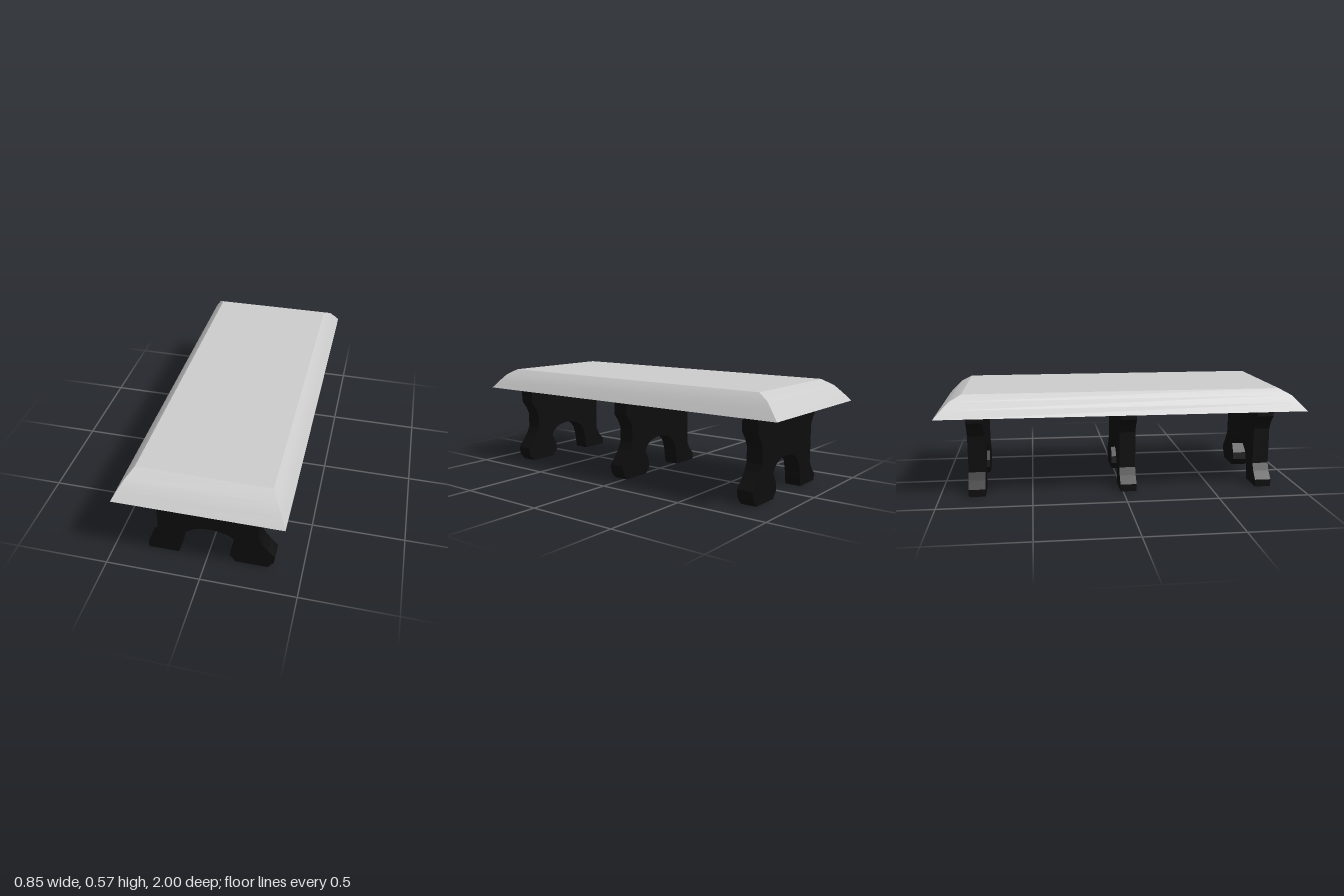
import * as THREE from 'three';

const stone = new THREE.MeshStandardMaterial({ color: 0xcccccc });
stone.name = 'paleGrey';
const iron = new THREE.MeshStandardMaterial({ color: 0x0d0d0d });
iron.name = 'black';

// Slab cross-section rings: half width, height, half length
const rings = [
  [0.425, 0.452, 1.0],
  [0.4, 0.495, 0.96],
  [0.374, 0.535, 0.92],
  [0.34, 0.569, 0.857],
];
const corners = ([x, y, z]) => [[x, y, z], [x, y, -z], [-x, y, -z], [-x, y, z]];

// Smooth-shaded strip of quads between pairs of points, bottom to top
function strip(pairs) {
  const index = [];
  for (let i = 0; i < pairs.length - 1; i++) {
    const a = i * 2;
    index.push(a, a + 1, a + 3, a, a + 3, a + 2);
  }
  const geometry = new THREE.BufferGeometry();
  geometry.setAttribute('position', new THREE.Float32BufferAttribute(pairs.flat(2), 3));
  geometry.setIndex(index);
  geometry.computeVertexNormals();
  return geometry;
}

// Table slab: four curved bevels closed by a flat top and underside
function makeSlab() {
  const slab = new THREE.Group();
  slab.name = 'tableTop';
  const add = (name, pairs) => {
    const mesh = new THREE.Mesh(strip(pairs), stone);
    mesh.name = name;
    slab.add(mesh);
  };
  ['leftBevel', 'backBevel', 'rightBevel', 'frontBevel'].forEach((name, side) => {
    add(name, rings.map((ring) => {
      const c = corners(ring);
      return [c[side], c[(side + 1) % 4]];
    }));
  });
  const top = corners(rings[rings.length - 1]);
  const base = corners(rings[0]);
  add('topFace', [[top[3], top[0]], [top[2], top[1]]]);
  add('underside', [[base[0], base[3]], [base[1], base[2]]]);
  return slab;
}

// Leg outline, clockwise from the upper left-hand edge of the model
const outline = [
  [0.32, 0.452], [0.32, 0.366], [0.288, 0.324], [0.27, 0.285], [0.27, 0.202],
  [0.288, 0.162], [0.32, 0.12], [0.356, 0.081], [0.351, 0.041], [0.32, 0],
  [0.15, 0], [0.12, 0.041], [0.126, 0.083], [0.155, 0.136], [0.138, 0.166],
  [0.107, 0.188], [0.06, 0.2], [0.02, 0.204], [-0.022, 0.2], [-0.065, 0.188],
  [-0.105, 0.163], [-0.126, 0.136], [-0.142, 0.081], [-0.147, 0.041], [-0.155, 0],
  [-0.32, 0], [-0.32, 0.04], [-0.28, 0.081], [-0.26, 0.122], [-0.26, 0.324],
  [-0.28, 0.366], [-0.32, 0.407], [-0.32, 0.452],
];

export function createModel() {
  const model = new THREE.Group();
  model.name = 'lowTable';
  model.add(makeSlab());

  // Three identical arched supports
  const depth = 0.09;
  const shape = new THREE.Shape(outline.map(([x, y]) => new THREE.Vector2(x, y)));
  const legGeometry = new THREE.ExtrudeGeometry(shape, { depth, bevelEnabled: false });
  legGeometry.translate(0, 0, -depth / 2);
  const places = { frontLeg: 0.8, middleLeg: 0.03, backLeg: -0.8 };
  for (const [name, z] of Object.entries(places)) {
    const leg = new THREE.Mesh(legGeometry, iron);
    leg.name = name;
    leg.position.z = z;
    model.add(leg);
  }
  return model;
}
